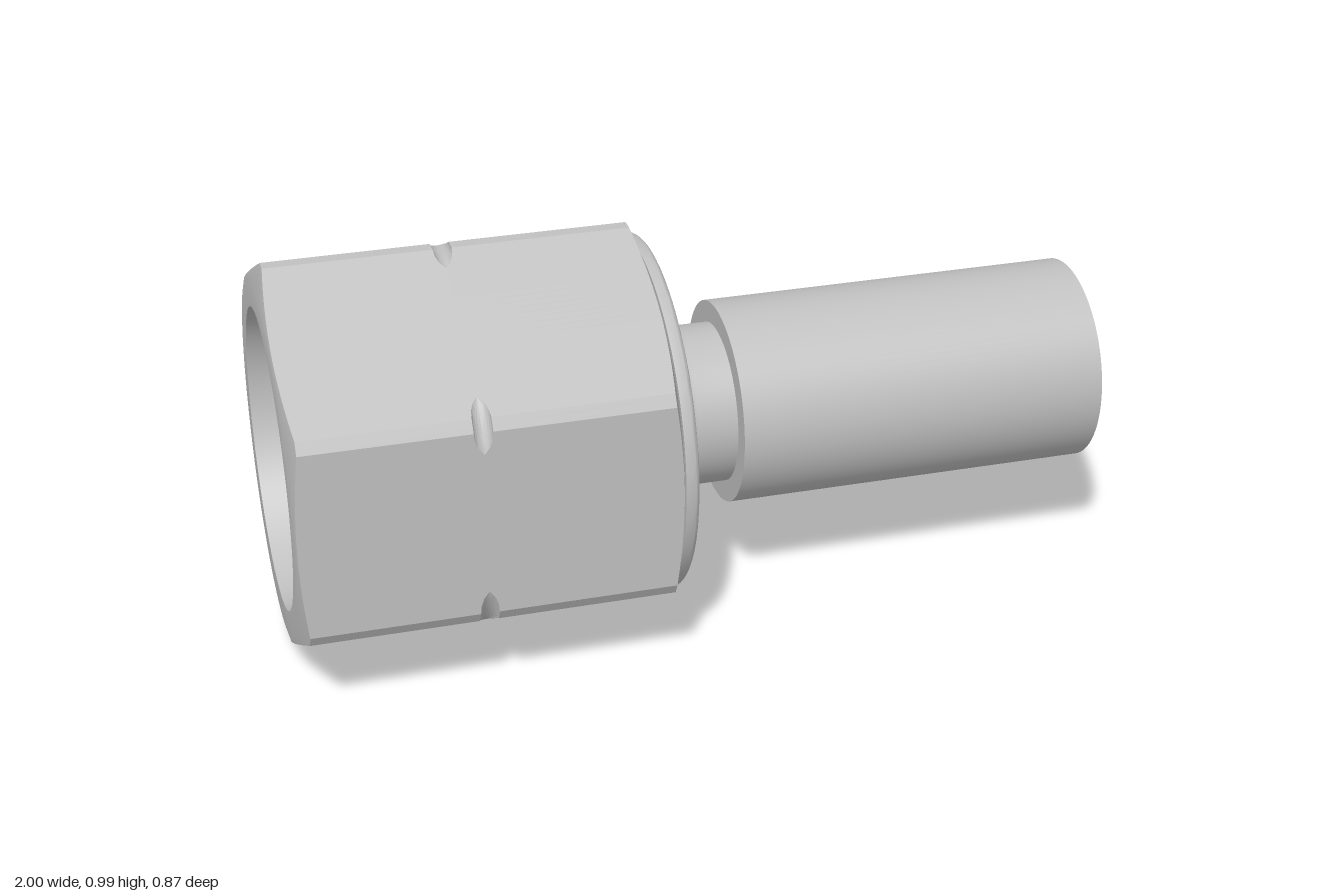
import * as THREE from 'three';
import { toCreasedNormals } from 'three/addons/utils/BufferGeometryUtils.js';

const FLAT = 0.4365, CORNER = 0.4945;   // hexagon: axis to flats, axis to trimmed corners
const AXIS_Y = 0.4945;

// Distance from the axis to the trimmed hexagon, phi measured from a corner
const hexRadius = (phi) => Math.min(CORNER / Math.cos(phi), FLAT / Math.cos(Math.PI / 6 - Math.abs(phi)));

// Lengthwise [x, r] outline of the nut at hexagon radius h
function nutOutline(h) {
  const gx = -0.57, rho = 0.022, rc = 0.495, steps = 10;
  const alpha = Math.acos(Math.min(1, (rc - h) / rho));
  const pts = [[-1, 0.36], [-1, 0.425], [-1 + (h - 0.425) * 0.25, h]];
  for (let i = 0; i <= steps; i++) {
    const t = alpha * (2 * i / steps - 1);
    pts.push([gx + rho * Math.sin(t), alpha > 0 ? rc - rho * Math.cos(t) : h]);
  }
  pts.push([-0.105 - (h - 0.42) * 0.3, h], [-0.105, 0.42]);
  return pts;
}

// Hexagonal shell with chamfered ends and a groove cut across every corner
function nutGeometry() {
  const edge = Math.atan((FLAT / Math.cos(Math.PI / 6) - CORNER) * Math.sqrt(3) / CORNER);
  const rows = [];
  for (let s = 0; s < 6; s++) {
    const base = s * Math.PI / 3;
    const phis = [-edge, 0];
    for (let k = 0; k < 28; k++) phis.push(edge + (Math.PI / 3 - 2 * edge) * k / 28);
    for (const phi of phis) {
      const rel = phi > Math.PI / 6 ? phi - Math.PI / 3 : phi;
      const th = base + phi;
      rows.push(nutOutline(hexRadius(rel)).map(([x, r]) =>
        new THREE.Vector3(x, r * Math.cos(th), r * Math.sin(th))));
    }
  }
  const pos = [];
  const tri = (a, b, c) => {
    const area = b.clone().sub(a).cross(c.clone().sub(a)).length();
    if (area > 1e-9) for (const p of [a, b, c]) pos.push(p.x, p.y, p.z);
  };
  rows.forEach((row, j) => {
    const next = rows[(j + 1) % rows.length];
    for (let i = 0; i < row.length - 1; i++) {
      tri(row[i], next[i], row[i + 1]);
      tri(row[i + 1], next[i], next[i + 1]);
    }
  });
  const g = new THREE.BufferGeometry();
  g.setAttribute('position', new THREE.Float32BufferAttribute(pos, 3));
  return toCreasedNormals(g, 0.28);
}

// Turned surface around the x axis from [x, r] points
function turned(points) {
  const g = new THREE.LatheGeometry(points.map(([x, r]) => new THREE.Vector2(r, x)), 96);
  g.rotateZ(-Math.PI / 2);
  return toCreasedNormals(g, 0.4);
}

// Points on a quarter arc
function arc(cx, cr, rad, from, to, n = 8) {
  return Array.from({ length: n + 1 }, (_, i) => {
    const t = from + (to - from) * i / n;
    return [cx + rad * Math.cos(t), cr + rad * Math.sin(t)];
  });
}

export function createModel() {
  const model = new THREE.Group();
  model.name = 'hoseFitting';
  const steel = new THREE.MeshStandardMaterial({ color: 0xc0c0c0 });
  steel.name = 'steel';
  const body = new THREE.Group();
  body.name = 'fittingBody';
  body.position.y = AXIS_Y;
  model.add(body);
  const add = (name, geometry) => {
    const mesh = new THREE.Mesh(geometry, steel);
    mesh.name = name;
    body.add(mesh);
  };

  add('hexNut', nutGeometry());

  // Stepped socket in the open end of the nut
  add('nutSocket', turned([
    [-0.3, 0.078], [-0.3, 0.29], [-0.8, 0.29], [-0.85, 0.335], [-1, 0.36],
  ]));

  // Collar with a rounded rim, filleted into the neck
  add('collarAndNeck', turned([
    [-0.105, 0.42], [-0.105, 0.434],
    ...arc(-0.088, 0.416, 0.018, Math.PI / 2, 0),
    ...arc(-0.005, 0.26, 0.065, Math.PI, Math.PI * 1.5),
    [0.09, 0.195],
  ]));

  // Crimp sleeve, hollow with a slightly tapered inside
  add('sleeve', turned([
    [0.09, 0.195], [0.09, 0.248], [1, 0.248], [1, 0.215], [0.2, 0.187], [0.2, 0.12],
  ]));

  // Tapered inner nipple with the through bore
  add('nipple', turned([
    [0.2, 0.12], [0.99, 0.1], [0.99, 0.078], [-0.3, 0.078],
  ]));

  return model;
}
